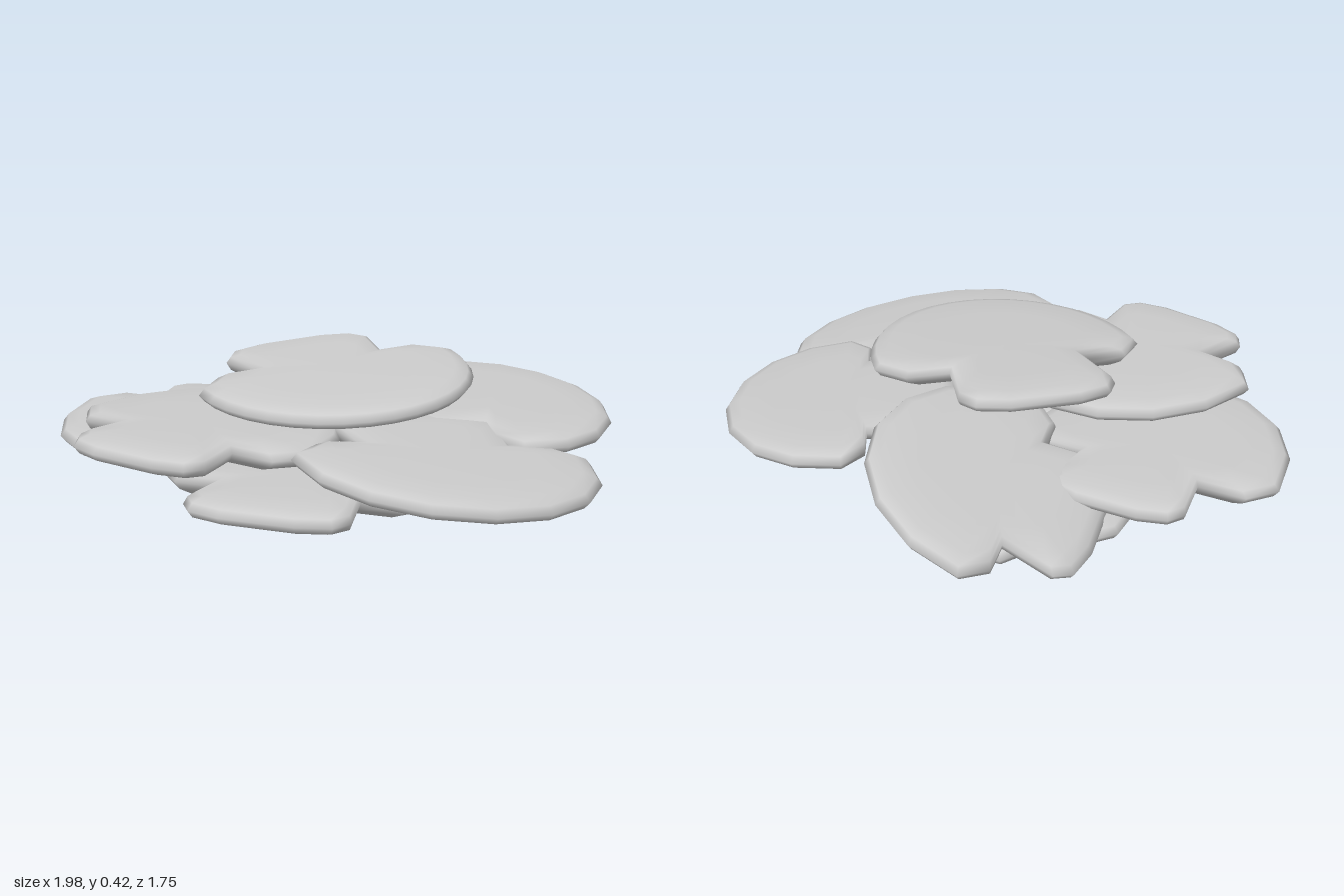
import * as THREE from 'three';

// Cushion-like section from top middle to bottom middle: [scale of the outline, height in half thicknesses]
const SECTION = [[0, 1], [0.6, 1], [0.87, 0.88], [0.96, 0.55], [1, 0], [0.96, -0.55], [0.87, -0.88], [0.6, -1], [0, -1]];

// Outline [across, along] of a round cap with a short lobe, set apart by a notch on each side
function padOutline({ cap: [capW, capL], lobe: [lobeW, lobeL], steps }) {
  const side = [
    [0.45 * lobeW, lobeL], [0.85 * lobeW, 0.9 * lobeL], [lobeW, 0.7 * lobeL],
    [0.88 * lobeW, 0.02], [0.83 * capW, 0.04 * capW],
  ];
  for (let i = 0; i < steps; i++) {
    const t = (i / steps) * Math.PI / 2;
    side.push([capW * Math.cos(t), -capL * (0.12 + 0.88 * Math.sin(t))]);
  }
  const mirrored = side.map(([v, u]) => [-v, u]).reverse();
  return [...side, [0, -capL], ...mirrored];
}

// A pad whose notches lie either side of "at", with the lobe turned clockwise from the back,
// on the sloping plane y = height + slope[0] * x + slope[1] * z
function makePad(pad) {
  const { name, at, turn, height, slope = [0, 0], half = 0.041 } = pad;
  const outline = padOutline(pad);
  const n = outline.length;
  const middle = -0.15 * pad.cap[1];
  const angle = THREE.MathUtils.degToRad(turn);
  const sin = Math.sin(angle);
  const cos = Math.cos(angle);
  const positions = [];
  const index = [];
  SECTION.forEach(([scale, lift], ring) => {
    outline.forEach(([across, along], i) => {
      const v = across * scale;
      const u = middle + (along - middle) * scale;
      const x = at[0] + sin * u + cos * v;
      const z = at[1] - cos * u + sin * v;
      positions.push(x, height + slope[0] * x + slope[1] * z + half * lift, z);
      if (ring === SECTION.length - 1) return;
      const a = ring * n + i;
      const b = ring * n + (i + 1) % n;
      if (ring > 0) index.push(a, b, b + n);
      if (ring < SECTION.length - 2) index.push(a, b + n, a + n);
    });
  });
  // the innermost rings are single points, so one triangle per step closes them
  for (let i = 0; i < n; i++) {
    const a = (SECTION.length - 2) * n + i;
    index.push(a, a + n, a + n);
  }
  const geometry = new THREE.BufferGeometry();
  geometry.setAttribute('position', new THREE.Float32BufferAttribute(positions, 3));
  geometry.setIndex(index.filter((_, k) => k < index.length - 3 * n));
  geometry.computeVertexNormals();
  const mesh = new THREE.Mesh(geometry, new THREE.MeshStandardMaterial({ color: 0xcccccc }));
  mesh.name = name;
  return mesh;
}

// cap and lobe are [half width, length] measured from the notches
const PADS = [
  { name: 'topPad', at: [-0.06, 0.01], turn: -49, cap: [0.47, 0.57], lobe: [0.27, 0.32], height: 0.37, slope: [0, -0.064], half: 0.04, steps: 9 },
  { name: 'backPad', at: [-0.31, -0.39], turn: -105, cap: [0.47, 0.48], lobe: [0.3, 0.27], height: 0.265, slope: [0.34, 0], steps: 4 },
  { name: 'backLeftPad', at: [0.39, -0.25], turn: -124, cap: [0.47, 0.47], lobe: [0.3, 0.32], height: 0.262, slope: [-0.075, 0], steps: 4 },
  { name: 'frontLeftPad', at: [0.48, 0.29], turn: -43, cap: [0.5, 0.46], lobe: [0.3, 0.34], height: 0.29, slope: [-0.16, 0], steps: 4 },
  { name: 'frontPad', at: [-0.28, 0.6], turn: -171, cap: [0.46, 0.6], lobe: [0.26, 0.27], height: 0.252, steps: 4 },
  { name: 'rightPad', at: [-0.56, -0.04], turn: -3, cap: [0.45, 0.62], lobe: [0.24, 0.28], height: 0.143, steps: 4 },
  { name: 'lowerFrontPad', at: [0.1, 0.58], turn: 174, cap: [0.46, 0.55], lobe: [0.27, 0.28], height: 0.123, steps: 5 },
  { name: 'bottomPad', at: [-0.27, -0.16], turn: -110, cap: [0.46, 0.49], lobe: [0.28, 0.31], height: 0.045, steps: 4 },
];

export function createModel() {
  const group = new THREE.Group();
  group.name = 'padCluster';
  for (const pad of PADS) group.add(makePad(pad));
  return group;
}
